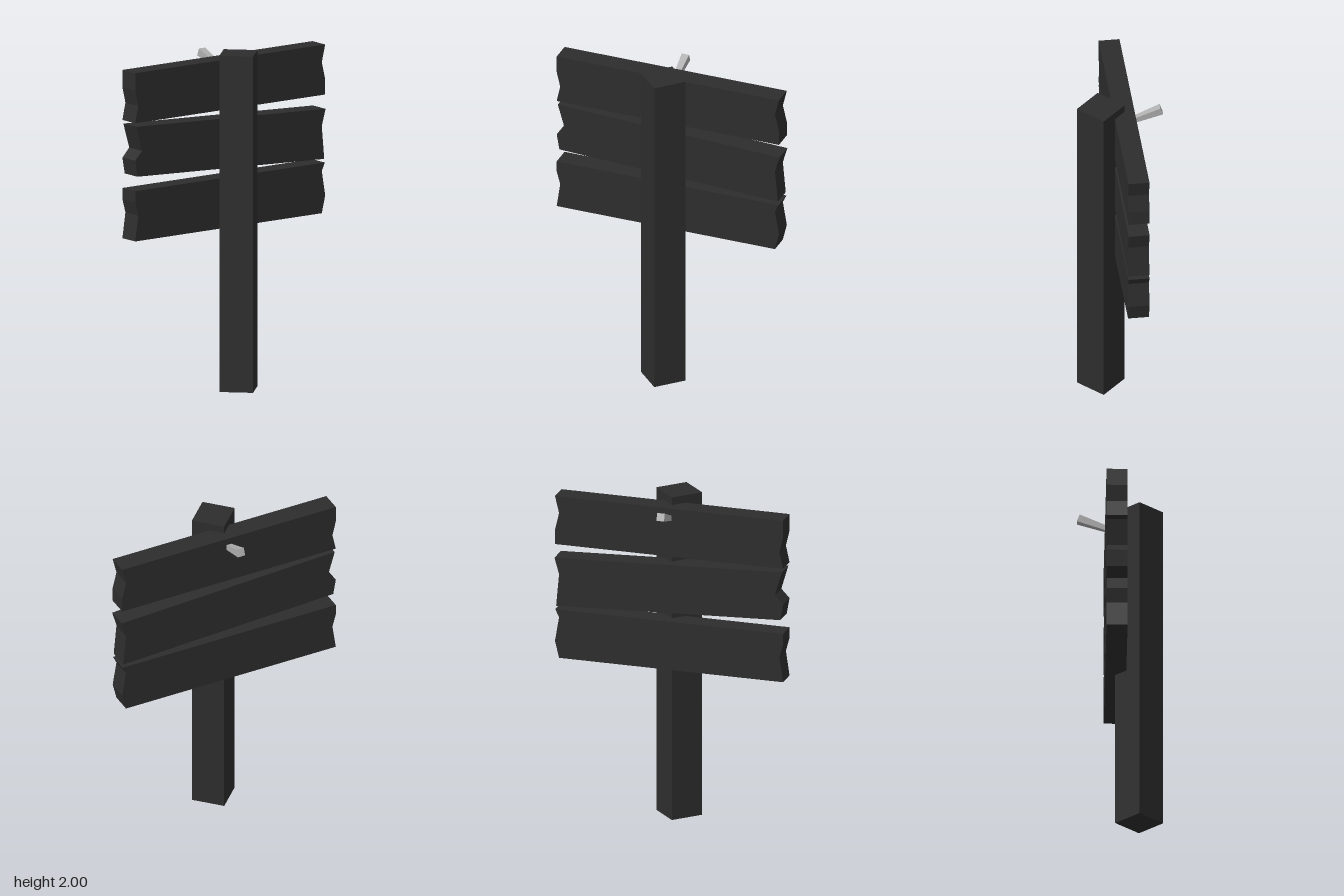
import * as THREE from 'three';

const wood = new THREE.MeshStandardMaterial({ color: 0x2d2d2d, flatShading: true });
wood.name = 'dark wood';
const metal = new THREE.MeshStandardMaterial({ color: 0xb0b0b0, flatShading: true });
metal.name = 'grey metal';

// Board outlines, counter-clockwise from the top left, with splintered ends
const boards = {
  topBoard: [[-0.70, 1.953], [-0.70, 1.85], [-0.678, 1.756], [-0.70, 1.655],
    [0.697, 1.655], [0.697, 1.745], [0.672, 1.85], [0.697, 1.953]],
  middleBoard: [[-0.693, 1.633], [-0.65, 1.485], [-0.70, 1.432], [-0.683, 1.335],
    [0.69, 1.273], [0.672, 1.47], [0.70, 1.57]],
  bottomBoard: [[-0.70, 1.251], [-0.70, 1.185], [-0.678, 1.103], [-0.70, 0.952],
    [0.672, 0.952], [0.697, 1.055], [0.672, 1.204], [0.695, 1.251]],
};
const BACK = -0.087, THICKNESS = 0.123;

export function createModel() {
  const model = new THREE.Group();
  model.name = 'signpost';
  const add = (name, geometry, material) => {
    const mesh = new THREE.Mesh(geometry, material);
    mesh.name = name;
    model.add(mesh);
    return mesh;
  };

  // Square post turned so that one edge faces forward
  const post = add('post', new THREE.CylinderGeometry(0.14, 0.14, 2, 4), wood);
  post.position.set(0, 1, 0.112);

  // Three planks behind the post
  for (const [name, outline] of Object.entries(boards)) {
    const shape = new THREE.Shape(outline.map(([x, y]) => new THREE.Vector2(x, y)));
    const geometry = new THREE.ExtrudeGeometry(shape, { depth: THICKNESS, bevelEnabled: false });
    add(name, geometry.translate(0, 0, BACK), wood);
  }

  // Square tapered nail, wide end outwards, sticking up out of the back
  const start = new THREE.Vector3(0, 1.884, -0.06);
  const end = new THREE.Vector3(0, 1.952, -0.244);
  const direction = end.clone().sub(start);
  const nailGeometry = new THREE.CylinderGeometry(0.033, 0.02, direction.length(), 4);
  nailGeometry.rotateY(Math.PI / 4);
  const nail = add('nail', nailGeometry, metal);
  nail.position.copy(start).add(end).multiplyScalar(0.5);
  nail.rotation.x = Math.atan2(direction.z, direction.y);

  return model;
}
